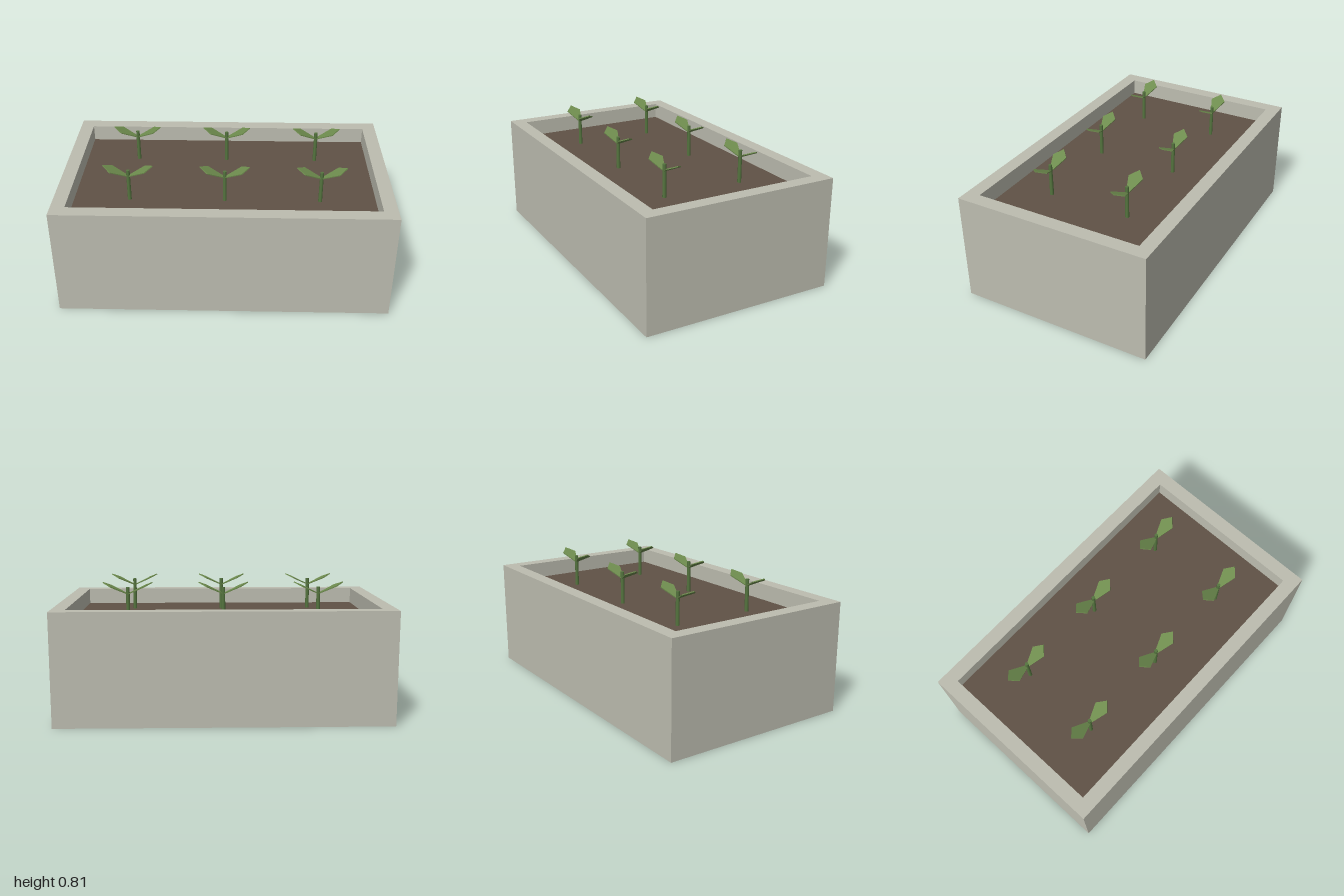
import * as THREE from 'three';

const mat = (name, color) => {
  const m = new THREE.MeshStandardMaterial({ color });
  m.name = name;
  return m;
};

export function createModel() {
  const concrete = mat('concrete', 0xbdbdb0);
  const soilBrown = mat('soilBrown', 0x605246);
  const stemGreen = mat('stemGreen', 0x55753f);
  const leafGreen = mat('leafGreen', 0x6e8c4e);

  const model = new THREE.Group();
  model.name = 'planter';

  const add = (parent, name, geometry, material, x = 0, y = 0, z = 0) => {
    const mesh = new THREE.Mesh(geometry, material);
    mesh.name = name;
    mesh.position.set(x, y, z);
    parent.add(mesh);
    return mesh;
  };

  const W = 2, D = 1.2, H = 0.68, wall = 0.085, soilY = 0.58;
  const innerW = W - 2 * wall, innerD = D - 2 * wall;

  // Four walls as one frame, extruded upwards
  const rect = (Type, w, d) => {
    const p = new Type();
    p.moveTo(-w / 2, -d / 2);
    p.lineTo(w / 2, -d / 2);
    p.lineTo(w / 2, d / 2);
    p.lineTo(-w / 2, d / 2);
    p.closePath();
    return p;
  };
  const frame = rect(THREE.Shape, W, D);
  frame.holes.push(rect(THREE.Path, innerW, innerD));
  const walls = new THREE.ExtrudeGeometry(frame, { depth: H, bevelEnabled: false });
  walls.rotateX(-Math.PI / 2);
  add(model, 'walls', walls, concrete);

  // Floor and the soil bed resting on it
  const floorH = 0.08;
  add(model, 'floor', new THREE.BoxGeometry(innerW, floorH, innerD), concrete, 0, floorH / 2, 0);
  add(model, 'soil', new THREE.BoxGeometry(innerW, soilY - floorH, innerD), soilBrown,
    0, (soilY + floorH) / 2, 0);

  // Leaf: thin kite blade growing along +x, tilted upwards
  const blade = new THREE.Shape([
    [0, -0.008], [0.11, -0.046], [0.163, 0], [0.11, 0.046], [0, 0.008],
  ].map(([x, y]) => new THREE.Vector2(x, y)));
  const thick = 0.006;
  const leafGeo = new THREE.ExtrudeGeometry(blade, { depth: thick, bevelEnabled: false });
  leafGeo.translate(0, 0, -thick / 2);
  leafGeo.rotateX(-Math.PI / 2);
  leafGeo.rotateZ(0.44);

  // Seedlings in two rows of three
  const stemH = 0.2;
  const stemGeo = new THREE.CylinderGeometry(0.011, 0.012, stemH, 8);
  for (const z of [-0.255, 0.255]) {
    for (const x of [-0.577, 0, 0.577]) {
      const seedling = new THREE.Group();
      seedling.name = 'seedling';
      seedling.position.set(x, soilY, z);
      add(seedling, 'stem', stemGeo, stemGreen, 0, stemH / 2, 0);
      add(seedling, 'leftLeaf', leafGeo, leafGreen, 0.002, 0.16, 0);
      add(seedling, 'rightLeaf', leafGeo, leafGreen, -0.002, 0.16, 0).rotation.y = Math.PI;
      model.add(seedling);
    }
  }
  return model;
}
